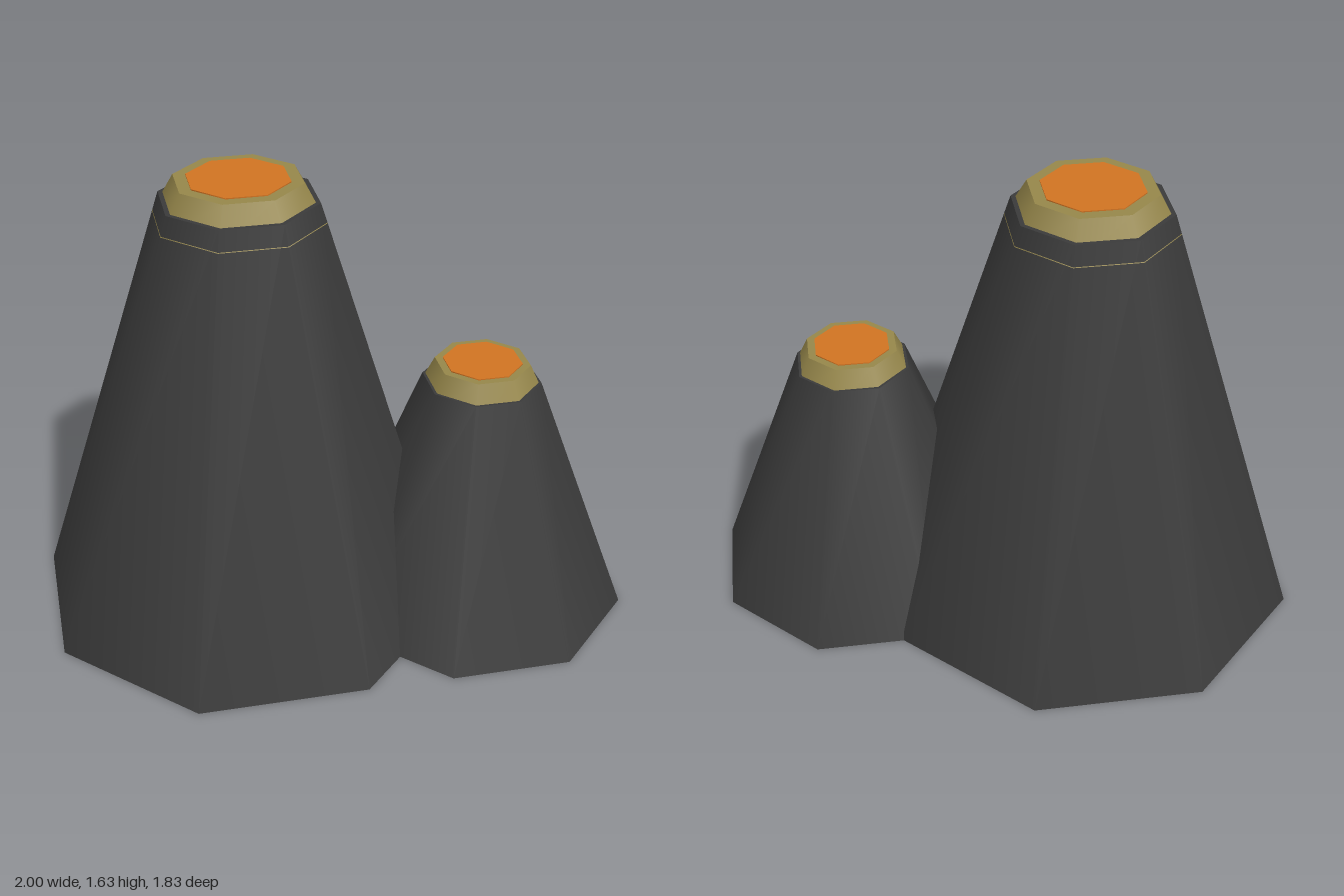
import * as THREE from 'three';

const rock = new THREE.MeshStandardMaterial({ color: 0x3a3a3a });
rock.name = 'dark rock';
const crust = new THREE.MeshStandardMaterial({ color: 0x95864a });
crust.name = 'sulphur crust';
const magma = new THREE.MeshStandardMaterial({ color: 0xd07322 });
magma.name = 'orange lava';

// Eight-sided frustum standing between two heights
function frustum(name, material, rBottom, rTop, y0, y1) {
  const geometry = new THREE.CylinderGeometry(rTop, rBottom, y1 - y0, 8);
  geometry.translate(0, (y0 + y1) / 2, 0);
  const mesh = new THREE.Mesh(geometry, material);
  mesh.name = name;
  return mesh;
}

// One volcanic vent: rock cone, crusted rim and a thin lava disc
function vent(name, { x, z, base, shoulder, height, rim, lava }) {
  const group = new THREE.Group();
  group.name = name;
  group.position.set(x, 0, z);
  group.add(frustum('cone', rock, base, shoulder, 0, height));
  group.add(frustum('rim', crust, rim[0], rim[1], height - 0.07, height + 0.065));
  group.add(frustum('lava', magma, lava, lava, height + 0.062, height + 0.069));
  return group;
}

export function createModel() {
  const model = new THREE.Group();
  model.name = 'volcanicVents';
  model.add(vent('tallVent', {
    x: -0.225, z: -0.142, base: 0.775, shoulder: 0.277, height: 1.557, rim: [0.3, 0.223], lava: 0.179,
  }));
  model.add(vent('shortVent', {
    x: 0.442, z: 0.36, base: 0.555, shoulder: 0.208, height: 0.893, rim: [0.232, 0.167], lava: 0.139,
  }));
  return model;
}
